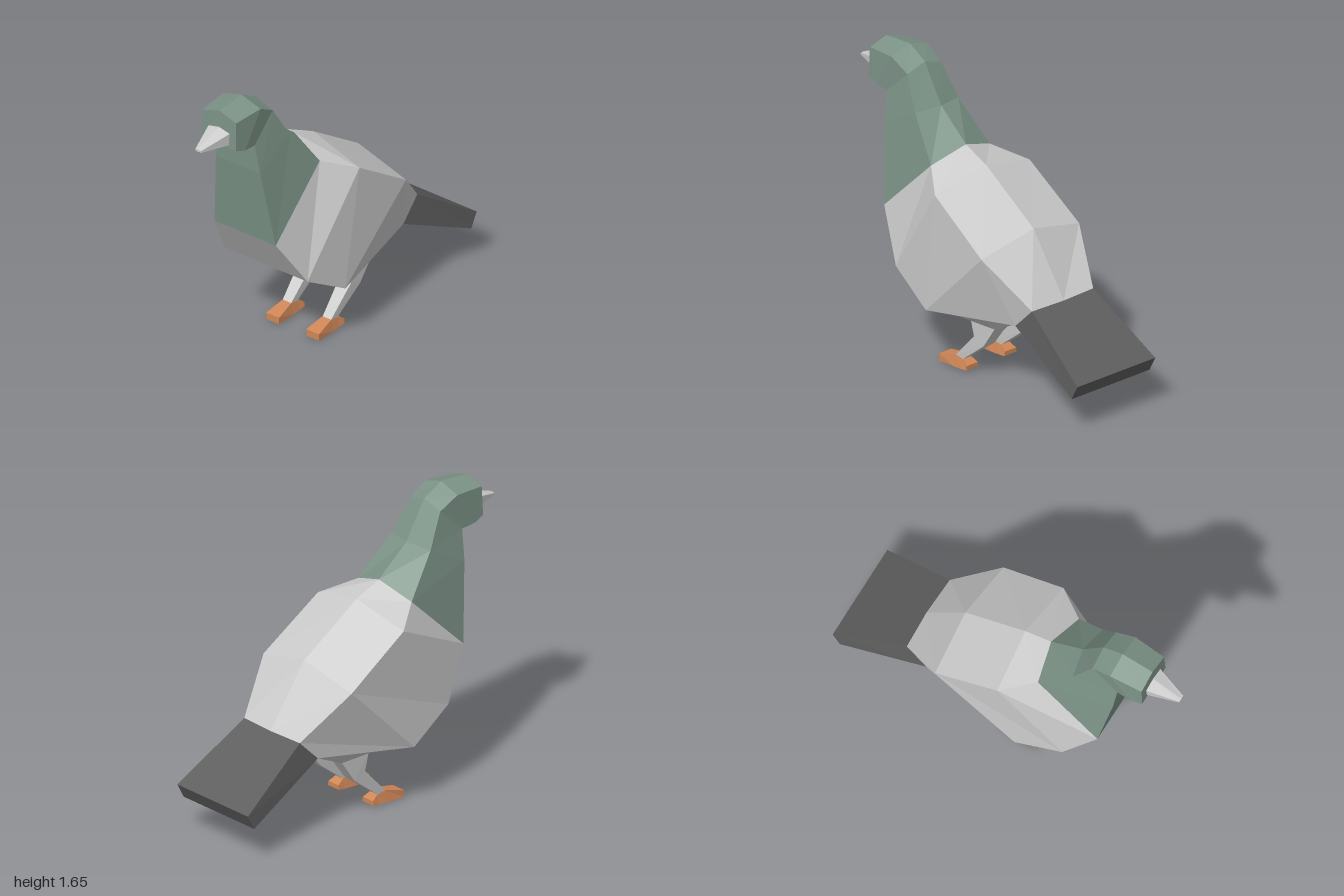
import * as THREE from 'three';

const mat = (color) => new THREE.MeshStandardMaterial({ color, flatShading: true, side: THREE.DoubleSide });
const grey = mat(0xcccccc), green = mat(0x7c9387), dark = mat(0x5e5e5e), orange = mat(0xcf8656);

// Joins cross-sections (lists of [x, y, z]) into a faceted skin.
// Open sections make a sheet; closed ones may be capped at either end.
function loft(name, rings, material, { closed = true, start = false, end = false } = {}) {
  const pos = [], n = rings[0].length;
  const tri = (...p) => p.forEach((v) => pos.push(...v));
  for (let r = 0; r < rings.length - 1; r++) {
    const a = rings[r], b = rings[r + 1];
    for (let i = 0; i < (closed ? n : n - 1); i++) {
      const j = (i + 1) % n;
      tri(a[i], a[j], b[j]);
      tri(a[i], b[j], b[i]);
    }
  }
  const first = rings[0], last = rings[rings.length - 1];
  for (let i = 1; i < n - 1; i++) {
    if (start) tri(first[0], first[i + 1], first[i]);
    if (end) tri(last[0], last[i], last[i + 1]);
  }
  const geo = new THREE.BufferGeometry();
  geo.setAttribute('position', new THREE.Float32BufferAttribute(pos, 3));
  geo.computeVertexNormals();
  const mesh = new THREE.Mesh(geo, material);
  mesh.name = name;
  return mesh;
}

// Mirrored five-point section: ridge [y, z], shoulder [x, y, z], base [x, y, z]
const mirror = ([x, y, z]) => [-x, y, z];
const section = ([y, z], side, base) => [[0, y, z], side, base, mirror(base), mirror(side)];

// Four-point horizontal section of a leg
const legRing = (x, hw, yBack, zBack, yFront, zFront) => [
  [x - hw, yBack, zBack], [x + hw, yBack, zBack], [x + hw, yFront, zFront], [x - hw, yFront, zFront]];

// Four-point upright section of a foot
const footRing = (x, z, hwTop, top, hwBase, base) => [
  [x - hwTop, top, z], [x + hwTop, top, z], [x + hwBase, base, z], [x - hwBase, base, z]];

export function createModel() {
  const model = new THREE.Group();
  model.name = 'bird';

  const collar = section([1.215, 0.19], [0.21, 1.14, 0.235], [0.21, 0.785, 0.605]);
  const hip = section([0.905, -0.345], [0.35, 0.82, -0.32], [0.32, 0.355, 0.155]);
  const rump = section([0.565, -0.585], [0.22, 0.565, -0.575], [0.225, 0.44, -0.45]);

  // Head and neck
  model.add(loft('headAndNeck', [
    section([1.64, 0.82], [0.115, 1.605, 0.822], [0.12, 1.438, 0.828]),
    section([1.655, 0.635], [0.13, 1.615, 0.635], [0.128, 1.415, 0.76]),
    section([1.59, 0.515], [0.12, 1.55, 0.52], [0.123, 1.405, 0.675]),
    section([1.375, 0.385], [0.155, 1.365, 0.42], [0.152, 1.235, 0.665]),
    collar,
  ], green, { start: true }));

  // Beak
  model.add(loft('beak', [
    section([1.545, 0.815], [0.075, 1.528, 0.815], [0.072, 1.455, 0.815]),
    section([1.483, 1.0], [0.02, 1.48, 1.0], [0.02, 1.469, 1.0]),
  ].reverse(), grey, { start: true }));

  // Chest and back
  model.add(loft('body', [
    collar,
    section([1.15, 0.03], [0.34, 1.065, 0.06], [0.285, 0.51, 0.43]),
    hip,
  ], grey));

  // Rump, open below where the belly closes it
  const over = (s) => [s[3], s[4], s[0], s[1], s[2]];
  model.add(loft('rump', [over(hip), over(rump)], grey, { closed: false }));

  // Belly, sagging to the tops of the legs
  const bellyRow = (z, outer, yOuter, legX, yLeg, inX, yMid) => {
    const half = [[outer, yOuter, z], [legX, yLeg, z], [inX, yLeg, z]];
    return [...half, [0, yMid, z], ...half.map(mirror).reverse()];
  };
  model.add(loft('belly', [
    bellyRow(0.155, 0.32, 0.355, 0.2, 0.355, 0.09, 0.355),
    bellyRow(-0.05, 0.288, 0.384, 0.185, 0.335, 0.09, 0.35),
    bellyRow(-0.24, 0.258, 0.411, 0.185, 0.335, 0.09, 0.352),
    bellyRow(-0.45, 0.225, 0.44, 0.15, 0.44, 0.08, 0.44),
  ], grey, { closed: false }));

  // Tail
  const tailRing = (top, base) => [mirror(top), top, base, mirror(base)];
  model.add(loft('tail', [
    tailRing(rump[1], rump[2]),
    tailRing([0.28, 0.285, -1], [0.28, 0.2, -0.955]),
  ], dark, { end: true }));

  // Legs and feet
  for (const [side, s] of [['left', 1], ['right', -1]]) {
    const x = s * 0.137;
    model.add(loft(side + 'Leg', [
      legRing(x, 0.047, 0.335, -0.24, 0.335, -0.05),
      legRing(x, 0.041, 0.2, -0.145, 0.235, -0.07),
      legRing(x, 0.029, 0.064, 0.03, 0.072, 0.085),
    ], grey));
    model.add(loft(side + 'Foot', [
      footRing(x, 0.205, 0.044, 0.042, 0.044, 0.002),
      footRing(x, 0.085, 0.03, 0.072, 0.044, 0.006),
      footRing(x, 0.03, 0.03, 0.064, 0.044, 0.01),
      footRing(x, -0.012, 0.04, 0.04, 0.044, 0.015),
    ], orange, { start: true, end: true }));
  }
  return model;
}
